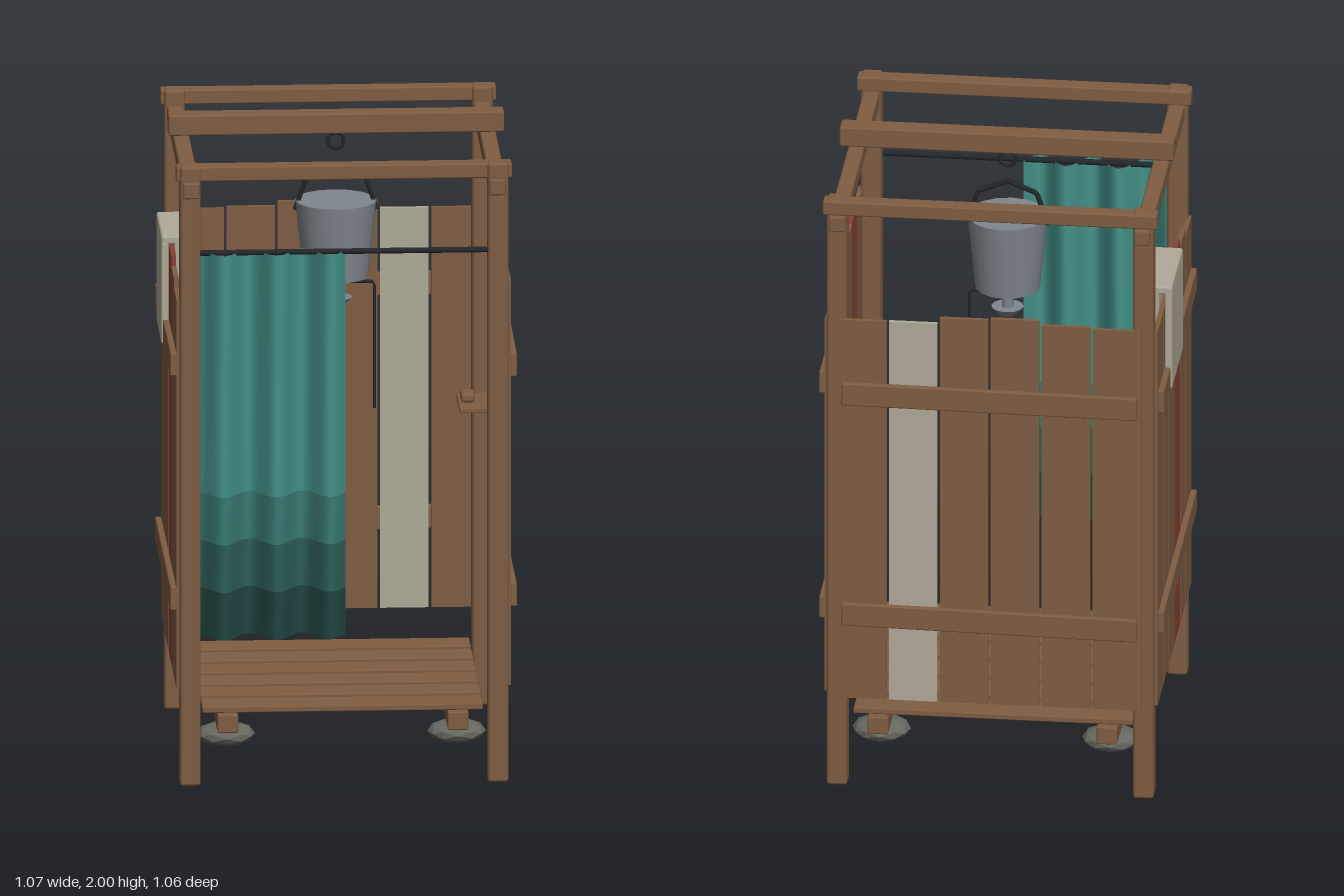
import * as THREE from 'three';
import { RoundedBoxGeometry } from 'three/addons/geometries/RoundedBoxGeometry.js';

const mat = (name, color, extra = {}) => {
  const m = new THREE.MeshStandardMaterial({ color, ...extra });
  m.name = name;
  return m;
};

export function createModel() {
  const root = new THREE.Group();
  root.name = 'outdoorShower';

  const wood = mat('wood', 0x805e43);
  const red = mat('redPaint', 0x8c3f35);
  const pale = mat('paleCloth', 0xb0ab98);
  const metal = mat('galvanisedMetal', 0x80878e);
  const iron = mat('darkIron', 0x24272c);
  const stone = mat('stone', 0x66675f, { flatShading: true });
  const teals = [0x45928a, 0x3a7b74, 0x2c5f59, 0x204542].map((c, i) =>
    mat('curtainTeal' + i, c, { side: THREE.DoubleSide }));

  const add = (parent, name, geo, material, x = 0, y = 0, z = 0) => {
    const m = new THREE.Mesh(geo, material);
    m.name = name;
    m.position.set(x, y, z);
    parent.add(m);
    return m;
  };
  // Box given by its lower and upper corners
  const box = (parent, name, material, [x0, y0, z0], [x1, y1, z1], bevel = 0) => {
    const s = [x1 - x0, y1 - y0, z1 - z0];
    const geo = bevel ? new RoundedBoxGeometry(...s, 1, bevel) : new THREE.BoxGeometry(...s);
    return add(parent, name, geo, material, (x0 + x1) / 2, (y0 + y1) / 2, (z0 + z1) / 2);
  };
  // Round bar through points, with straight runs
  const bar = (name, material, points, r) => {
    const path = new THREE.CurvePath();
    const v = points.map((p) => new THREE.Vector3(...p));
    for (let i = 1; i < v.length; i++) path.add(new THREE.LineCurve3(v[i - 1], v[i]));
    return add(root, name, new THREE.TubeGeometry(path, 32, r, 6), material);
  };

  // Frame: posts, side rails, front and back rails, ridge beam
  for (const s of [-1, 1]) {
    for (const z of [-0.473, 0.467]) {
      box(root, 'post', wood, [s * 0.472 - 0.032, 0, z - 0.032], [s * 0.472 + 0.032, 1.96, z + 0.032], 0.01);
    }
    box(root, 'sideRail', wood, [s * 0.47 - 0.025, 1.86, -0.52], [s * 0.47 + 0.025, 1.91, 0.51], 0.006);
  }
  box(root, 'frontRail', wood, [-0.515, 1.91, 0.434], [0.515, 1.957, 0.489], 0.006);
  box(root, 'backRail', wood, [-0.515, 1.91, -0.509], [0.515, 1.957, -0.457], 0.006);
  box(root, 'ridgeBeam', wood, [-0.515, 1.935, -0.043], [0.515, 2, 0.023], 0.006);

  // Plank walls, listed left to right as seen from outside
  const wall = (name, angle, tops, painted, paint, tilts) => {
    const g = new THREE.Group();
    g.name = name;
    g.rotation.y = angle;
    root.add(g);
    tops.forEach((top, i) => {
      const u = (i - 2.5) * 0.157;
      box(g, 'plank', i === painted ? paint : wood, [u - 0.0745, 0.3, 0.498], [u + 0.0745, top, 0.513]);
    });
    [1.318, 0.578].forEach((y, i) => {
      const b = box(g, 'batten', wood, [-0.455, y - 0.037, 0.511], [0.455, y + 0.037, 0.532], 0.005);
      b.rotation.z = tilts[i];
    });
  };
  wall('rightHandWall', Math.PI / 2, [1.58, 1.59, 1.59, 1.58, 1.545, 1.545], 1, red, [0.02, -0.01]);
  wall('backWall', Math.PI, [1.565, 1.565, 1.585, 1.59, 1.575, 1.57], 1, pale, [-0.01, -0.015]);
  wall('leftHandWall', -Math.PI / 2, [1.55, 1.55, 1.56, 1.59, 1.56, 1.53], 3, red, [0.015, 0.012]);

  // Towel folded over the wall
  box(root, 'towelOutside', pale, [-0.537, 1.28, -0.28], [-0.514, 1.6, 0.025], 0.005);
  box(root, 'towelInside', pale, [-0.497, 1.33, -0.28], [-0.447, 1.6, 0.025], 0.005);
  box(root, 'towelFold', pale, [-0.537, 1.592, -0.28], [-0.447, 1.62, 0.025], 0.008);

  // Slatted floor on two bearers, resting on flat stones
  for (let i = 0; i < 6; i++) {
    const z = -0.01 + (i - 2.5) * 0.141;
    box(root, 'floorSlat', wood, [-0.43, 0.205, z - 0.053], [0.43, 0.225, z + 0.053], 0.004);
  }
  for (const s of [-1, 1]) {
    box(root, 'floorBearer', wood, [s * 0.353 - 0.032, 0.147, -0.437], [s * 0.353 + 0.032, 0.205, 0.42], 0.005);
    for (const z of [-0.316, 0.31]) {
      const rock = add(root, 'footStone', new THREE.IcosahedronGeometry(1, 1), stone, s * 0.354, 0.119, z);
      rock.scale.set(0.09, 0.036, 0.078);
    }
  }

  // Curtain in darkening bands, with rod
  bar('curtainRod', iron, [[-0.46, 1.685, 0.487], [0.46, 1.685, 0.487]], 0.009);
  const levels = [1.685, 0.92, 0.77, 0.62, 0.47];
  teals.forEach((material, i) => {
    const h = levels[i] - levels[i + 1];
    const geo = new THREE.PlaneGeometry(0.485, h, 36, 1);
    const p = geo.attributes.position;
    for (let k = 0; k < p.count; k++) {
      const x = p.getX(k) - 0.2375;
      p.setXYZ(k, x, p.getY(k) + levels[i] - h / 2, 0.49 + 0.043 * Math.cos((2 * Math.PI * (x + 0.045)) / 0.163));
    }
    geo.computeVertexNormals();
    add(root, 'curtain', geo, material);
  });

  // Hanging bucket with handle, hook, spout and pull chain
  const zc = -0.01;
  add(root, 'bucket', new THREE.CylinderGeometry(0.125, 0.1, 0.24, 16), metal, 0, 1.6, zc);
  bar('bucketHandle', iron,
    [[-0.125, 1.69, zc], [-0.09, 1.795, zc], [0, 1.832, zc], [0.09, 1.795, zc], [0.125, 1.69, zc]], 0.008);
  add(root, 'hook', new THREE.TorusGeometry(0.026, 0.006, 6, 8), iron, 0, 1.907, zc);
  bar('hookStem', iron, [[0, 1.925, zc], [0, 1.945, zc]], 0.006);
  add(root, 'spoutPipe', new THREE.CylinderGeometry(0.018, 0.018, 0.08, 10), metal, 0, 1.45, zc);
  add(root, 'showerHead', new THREE.CylinderGeometry(0.05, 0.022, 0.03, 12), metal, 0, 1.398, zc);
  bar('pullChain', iron, [[0, 1.46, zc], [0.118, 1.46, zc], [0.118, 1.06, zc]], 0.005);

  // Soap shelf
  box(root, 'soapShelf', wood, [0.385, 1.012, -0.302], [0.5, 1.028, -0.11], 0.003);
  box(root, 'soap', wood, [0.392, 1.028, -0.24], [0.436, 1.058, -0.172], 0.01);

  return root;
}
